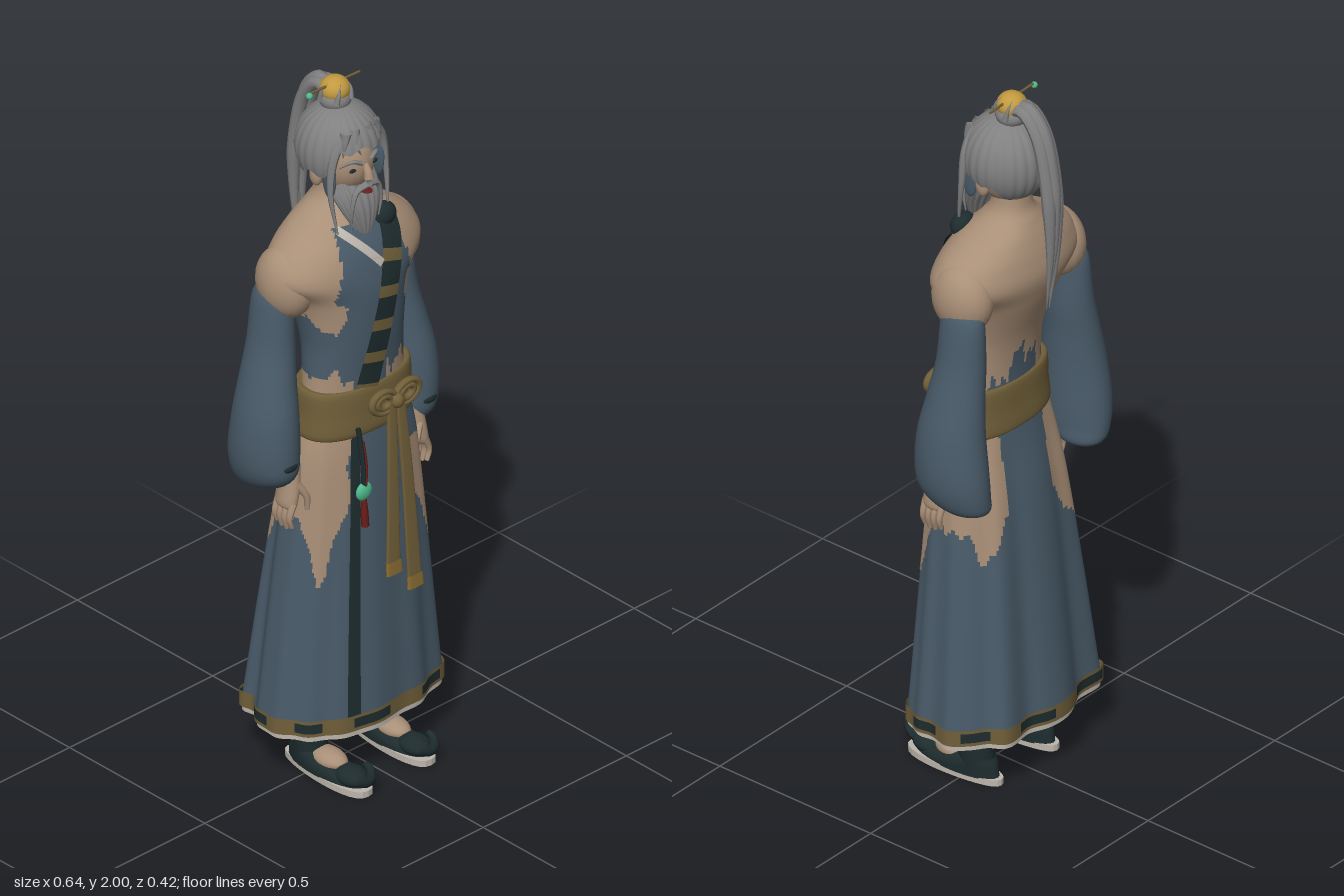
import * as THREE from 'three';

const paint = (name, color) => new THREE.MeshStandardMaterial({ name, color, side: THREE.DoubleSide });
const skin = paint('skin', 0xa98f77), blue = paint('blueCloth', 0x495b69), dark = paint('darkCloth', 0x1e2c2e);
const olive = paint('oliveSilk', 0x705f39), gold = paint('gold', 0xc2993f), hair = paint('greyHair', 0x808080);
const jade = paint('jade', 0x4fba8c), red = paint('redThread', 0x6b1d1a), white = paint('whiteLinen', 0xbdb6ad);
const ochre = paint('ochreFringe', 0x8f7034);

const spow = (v, e) => Math.sign(v) * Math.abs(v) ** e;
const bump = (v, at, w) => Math.exp(-(((v - at) / w) ** 2));

// Smooth in-between of a table of rings [y, centreX, halfWidth, zFront, zBack]
function ringAt(rings, v) {
  const n = rings.length - 1, t = v * n, i = Math.min(n - 1, Math.floor(t)), f = t - i;
  const at = k => rings[Math.max(0, Math.min(n, k))];
  return rings[0].map((_, c) => {
    const [a, b, d, e] = [at(i - 1)[c], at(i)[c], at(i + 1)[c], at(i + 2)[c]];
    return b + 0.5 * f * (d - a + f * (2 * a - 5 * b + 4 * d - e + f * (3 * (b - d) + e - a)));
  });
}

// Point on a ring table; ripple(theta, v) scales the radius
function ringPoint(rings, u, v, e = 1, ripple) {
  const [y, cx, hx, zf, zb] = ringAt(rings, v), a = u * Math.PI * 2, k = ripple ? ripple(a, v) : 1;
  return [cx + hx * k * spow(Math.sin(a), e), y, (zf + zb) / 2 + (zf - zb) / 2 * k * spow(Math.cos(a), e)];
}

// Grid surface; pick(x, y, z, u, v) chooses the material of each cell
function surface(name, nu, nv, point, mats, pick = () => 0, closed = true) {
  const cols = closed ? nu : nu + 1, pos = [], lists = mats.map(() => []);
  for (let j = 0; j <= nv; j++) for (let i = 0; i < cols; i++) pos.push(...point(i / nu, j / nv));
  for (let j = 0; j < nv; j++) for (let i = 0; i < nu; i++) {
    const u = (i + 0.5) / nu, v = (j + 0.5) / nv, i2 = (i + 1) % cols;
    const a = j * cols + i, b = j * cols + i2, c = a + cols, d = b + cols;
    lists[pick(...point(u, v), u, v)].push(a, c, b, b, c, d);
  }
  const g = new THREE.BufferGeometry();
  g.setAttribute('position', new THREE.Float32BufferAttribute(pos, 3));
  g.setIndex(lists.flat());
  let start = 0;
  lists.forEach((l, m) => { g.addGroup(start, l.length, m); start += l.length; });
  g.computeVertexNormals();
  const mesh = new THREE.Mesh(g, mats);
  mesh.name = name;
  return mesh;
}
function loft(name, rings, mat, nu = 28, nv = 24, e = 1, ripple) {
  const m = surface(name, nu, nv, (u, v) => ringPoint(rings, u, v, e, ripple), [mat]);
  m.material = mat;
  return m;
}
function part(name, geo, mat, x = 0, y = 0, z = 0) {
  const m = new THREE.Mesh(geo, mat);
  m.name = name;
  m.position.set(x, y, z);
  return m;
}
function ball(name, mat, p, r) {
  return part(name, new THREE.SphereGeometry(1, 24, 16).scale(...r), mat, ...p);
}
// Tube along points whose radius follows size(t)
function strand(name, mat, pts, radius, size = t => 1 - 0.95 * t, sides = 8, n = 20) {
  const curve = new THREE.CatmullRomCurve3(pts.map(p => new THREE.Vector3(...p)));
  const g = new THREE.TubeGeometry(curve, n, radius, sides), p = g.attributes.position, q = new THREE.Vector3();
  for (let i = 0; i < p.count; i++) {
    const t = Math.floor(i / (sides + 1)) / n, c = curve.getPointAt(t);
    q.fromBufferAttribute(p, i).sub(c).multiplyScalar(size(t)).add(c);
    p.setXYZ(i, q.x, q.y, q.z);
  }
  g.computeVertexNormals();
  return part(name, g, mat);
}

const torsoRings = [
  [1.75, 0, .048, .0, -.095], [1.68, 0, .054, .005, -.1], [1.64, 0, .085, .03, -.118], [1.6, 0, .155, .065, -.135],
  [1.55, 0, .214, .095, -.15], [1.49, 0, .238, .114, -.157], [1.42, 0, .178, .124, -.14], [1.3, 0, .15, .122, -.098],
  [1.2, 0, .15, .114, -.08], [1.08, 0, .158, .108, -.075]];
const skirtRings = [[1.07, 0, .16, .108, -.078], [.96, 0, .188, .12, -.095], [.8, 0, .206, .13, -.122],
  [.5, 0, .235, .142, -.155], [.175, 0, .265, .155, -.185]];

// Front of the chest at a given x and y
function chestZ(x, y) {
  let v = 0;
  while (v < 1 && ringAt(torsoRings, v)[0] > y) v += 0.005;
  const [, , hx, zf, zb] = ringAt(torsoRings, v), k = Math.min(0.95, Math.abs(x) / hx);
  return (zf + zb) / 2 + (zf - zb) / 2 * (1 - k ** 2.1) ** 0.475;
}
function chestBand(name, pts, half, mats, pick) {
  const c = new THREE.CatmullRomCurve3(pts.map(p => new THREE.Vector3(p[0], p[1], 0)));
  return surface(name, 6, 45, (u, v) => {
    const p = c.getPointAt(v), t = c.getTangentAt(v), w = (u - 0.5) * 2 * half;
    const x = p.x - t.y * w, y = p.y + t.x * w;
    return [x, y, chestZ(x, y) + 0.007];
  }, mats, pick, false);
}

function buildBody(g) {
  // Torn robe over bare skin
  g.add(surface('torso', 112, 100, (u, v) => ringPoint(torsoRings, u, v, .95), [skin, blue], (x, y, z) => {
    const jag = .02 * Math.sin(x * 90) + .012 * Math.sin(x * 210 + 1);
    if (z < (y < 1.38 ? -.045 : -.02)) return y < 1.2 + 1.5 * jag + .05 * Math.cos(x * 30) && Math.abs(x) < .13 ? 1 : 0;
    if (y > 1.615 || Math.abs(x) > .125 + Math.max(-.3, 1.46 - y) * (y < 1.46 ? .5 : .25)) return 0;
    if (Math.hypot((Math.abs(x) - .132) / .034, (y - 1.39 + jag * .4) / .048) < 1) return 0;
    if (y < 1.2 + jag && (x < -.075 || x > .03)) return 0;
    return 1;
  }));
  g.add(chestBand('whiteCollar', [[-.08, 1.615], [-.025, 1.555], [.012, 1.51]], .011, [white]));
  g.add(chestBand('chestSash', [[.085, 1.61], [.035, 1.47], [-.04, 1.16]], .035, [dark, olive],
    (x, y, z, u, v) => (v * 5 + .1) % 1 < .36 && v > .1 ? 1 : 0));
  g.add(ball('collarRoll', dark, [.075, 1.602, .05], [.038, .034, .03]));

  // Skirt with folds that deepen toward the hem, torn at the hips
  const fold = (a, v) => {
    const back = Math.max(0, -Math.cos(a)), b = a / (Math.PI * 2);
    return 1 + v * ((.015 + .05 * back) * Math.cos(9 * a + 2.1) + .015 * Math.cos(14 * a + 1)
      + .09 * bump(b, .145, .03) + .08 * bump(b, .63, .035) - .05 * bump(b, .85, .04));
  };
  g.add(surface('skirt', 160, 90, (u, v) => ringPoint(skirtRings, u, v, .88, fold), [blue, skin, dark], (x, y, z, u) => {
    if (u > .925 && u < .951) return 2;
    const a = Math.atan2(z - .01, Math.abs(x)), jag = .02 * Math.sin(a * 11) + .012 * Math.sin(a * 27);
    const rag = .05 * Math.sin(y * 45);
    if (a > .8 + rag || a < -1 + rag || Math.abs(x) < .085) return 0;
    if (x > 0 && a > -.2 && y > .955 - Math.max(0, a) * .03 + jag * .5) return 0;
    return y > .785 + jag - .15 * bump(a, .38, .17) - .11 * bump(a, -.55, .18) ? 1 : 0;
  }));
  const hemPoint = (lo, hi, grow) => (u, v) => {
    const p = ringPoint(skirtRings, u, 1, .88, fold);
    return [p[0] * grow, hi + (lo - hi) * v, p[2] * grow];
  };
  g.add(surface('hemTrim', 160, 5, hemPoint(.176, .222, 1.012), [olive, dark],
    (x, y, z, u, v) => v > .2 && v < .8 && Math.floor(u * 16) % 2 ? 1 : 0));
  g.add(surface('underskirt', 160, 1, hemPoint(.16, .2, .985), [white]));

  // Belt, bow and hanging ends
  g.add(loft('belt', [[1.158, 0, .15, .1, -.07], [1.155, 0, .17, .115, -.083], [1.09, 0, .173, .12, -.086],
    [1.03, 0, .178, .122, -.09], [1.022, 0, .16, .1, -.08]], olive, 64, 16, .85));
  for (const s of [-1, 1]) for (const r of [.036, .02]) {
    const loop = part('bowLoop', new THREE.TorusGeometry(r, .009, 8, 28), olive, .04 + s * .04, 1.105, .132);
    loop.scale.set(1.15, .85, 1.2);
    loop.rotation.z = s * .2;
    g.add(loop);
  }
  g.add(ball('bowKnot', olive, [.04, 1.098, .136], [.02, .022, .022]));
  for (const [top, x, y] of [[.025, .004, .64], [.055, .078, .57]]) {
    g.add(loft('sashEnd', [[1.09, top, .014, .142, .128], [.85, (top + x) / 2, .019, .156, .146],
      [y, x, .023, .168, .158]], olive, 16, 12, .5));
    g.add(loft('sashFringe', [[y + .005, x, .024, .17, .156], [y - .035, x + .004, .026, .17, .158]], ochre, 16, 2, .5,
      a => 1 + .08 * Math.cos(a * 8)));
  }

  // Jade pendant on a cord
  g.add(strand('pendantCord', dark, [[-.085, 1.06, .128], [-.075, .97, .133], [-.07, .87, .135]], .007, () => 1));
  g.add(strand('pendantThread', red, [[-.074, 1.02, .134], [-.066, .94, .138], [-.07, .87, .138]], .004, () => 1));
  g.add(ball('jadePendant', jade, [-.07, .87, .133], [.026, .026, .012]));
  g.add(loft('pendantTassel', [[.85, -.07, .005, .14, .128], [.81, -.068, .009, .142, .124], [.765, -.066, .01, .143, .125]],
    red, 16, 8, 1, a => 1 + .1 * Math.cos(a * 8)));
}

function buildLimbs(g, s) {
  // Bare shoulder, loose sleeve and hand
  g.add(ball('shoulder', skin, [s * .182, 1.47, -.038], [.068, .1, .088]));
  const sleeve = [[1.455, .202, .036, -.005, -.105], [1.42, .207, .046, .004, -.122], [1.3, .213, .057, .01, -.128],
    [1.2, .228, .066, .026, -.135], [1.1, .24, .076, .045, -.145], [1.0, .243, .079, .052, -.158],
    [.93, .238, .072, .042, -.162], [.885, .226, .053, -.015, -.154], [.865, .217, .004, -.095, -.105]];
  g.add(loft('sleeve', sleeve.map(([y, x, ...r]) => [y, s * x, ...r]), blue, 36, 40));
  g.add(ball('cuffOpening', dark, [s * .243, .974, .044], [.024, .013, .011]));
  g.add(loft('hand', [[.96, s * .213, .026, .037, -.012], [.9, s * .22, .025, .048, -.016],
    [.855, s * .23, .02, .05, -.02], [.84, s * .232, .011, .042, -.012]], skin, 16, 10));
  for (let i = 0; i < 4; i++) {
    const z = -.012 + i * .018, y = .78 + Math.abs(i - 1.6) * .008;
    g.add(strand('finger', skin, [[s * .23, .86, z], [s * .244, .82, z], [s * .236, y, z]], .0105, t => 1 - .4 * t, 8, 8));
  }
  g.add(strand('thumb', skin, [[s * .215, .91, .035], [s * .192, .87, .05], [s * .188, .83, .048]], .012, t => 1 - .4 * t, 8, 8));

  // Leg, slipper with curled toe, pale sole
  const x = s * .11;
  g.add(loft('legging', [[.62, x, .05, .035, -.075], [.25, x, .05, .033, -.07], [.1, x, .046, .025, -.07],
    [.04, x, .042, .025, -.075]], dark, 24, 12));
  g.add(loft('slipper', [[.07, x, .036, .015, -.08], [.052, x, .044, .085, -.088], [.032, x, .047, .16, -.092],
    [.015, x, .046, .175, -.095]], dark, 28, 10));
  g.add(ball('instep', skin, [x, .052, .045], [.038, .026, .06]));
  g.add(ball('slipperToe', dark, [x, .036, .13], [.038, .026, .05]));
  g.add(strand('toeCurl', dark, [[x, .036, .15], [x, .045, .187], [x, .065, .202], [x, .088, .196], [x, .093, .18]], .023, t => 1 - .65 * t, 10));
  const outline = new THREE.Shape(Array.from({ length: 28 }, (_, i) => {
    const a = i / 14 * Math.PI;
    return new THREE.Vector2(spow(Math.sin(a), .75) * (.045 + .008 * Math.cos(a)), -.043 - .15 * Math.cos(a));
  }));
  const sole = part('sole', new THREE.ExtrudeGeometry(outline, { depth: .018, bevelEnabled: false }), white, x, 0, 0);
  sole.rotation.x = -Math.PI / 2;
  g.add(sole);
}

function buildHead(g) {
  g.add(ball('face', skin, [0, 1.785, -.03], [.08, .105, .1]));
  g.add(strand('nose', skin, [[0, 1.795, .06], [0, 1.77, .074], [0, 1.752, .078]], .014, t => .5 + .5 * t));
  g.add(ball('mouth', red, [0, 1.712, .064], [.016, .004, .022]));
  for (const s of [-1, 1]) {
    g.add(ball('eye', dark, [s * .036, 1.78, .0575], [.013, .006, .005]));
    g.add(strand('eyebrow', hair, [[s * .014, 1.797, .066], [s * .04, 1.808, .06], [s * .066, 1.79, .036]], .007, t => 1 - .6 * t));
    g.add(ball('ear', skin, [s * .088, 1.755, -.025], [.014, .032, .02]));
    g.add(ball('templeCloth', blue, [s * .084, 1.762, .02], [.009, .06, .024]));
    g.add(strand('moustache', hair, [[s * .005, 1.733, .074], [s * .035, 1.722, .07], [s * .05, 1.68, .07], [s * .045, 1.6, .062]], .01));
    g.add(strand('sideLock', hair, [[s * .045, 1.885, .036], [s * .082, 1.83, .036], [s * .097, 1.73, .038], [s * .088, 1.61, .055]], .016, t => 1 - .85 * t));
    for (const k of [0, 1]) g.add(strand('forelock', hair, [[s * (.02 + k * .03), 1.89, .045], [s * (.03 + k * .03), 1.855, .062 - k * .012],
      [s * (.016 + k * .045), 1.822, .066 - k * .02]], .015));
  }
  g.add(loft('beard', [[1.735, 0, .07, .04, -.02], [1.7, 0, .07, .064, -.01], [1.66, 0, .057, .077, .01], [1.61, 0, .034, .078, .035],
    [1.55, 0, .004, .068, .06]], hair, 72, 20, 1, a => 1 + .07 * Math.cos(a * 18)));

  // Combed cap of hair, open over the face
  g.add(surface('hairCap', 144, 30, (u, v) => {
    const a = (u - .5) * Math.PI * 2, k = THREE.MathUtils.smoothstep(Math.abs(a), .75, 1.15);
    const p = v * (1.3 + .06 * Math.sin(a * 9) + k * (.64 + .42 * THREE.MathUtils.smoothstep(Math.abs(a), 1.6, 2.4)));
    const r = Math.sin(p) ** .9 * (.98 + .03 * Math.abs(Math.cos(a * 12)));
    return [.112 * r * Math.sin(a), 1.81 + .12 * Math.cos(p), -.033 + .116 * r * Math.cos(a)];
  }, [hair]));

  // Topknot, ornament with loose wisps, pin and ponytail
  g.add(ball('topknot', hair, [0, 1.938, -.048], [.043, .034, .043]));
  g.add(ball('topknotOrnament', gold, [0, 1.965, -.048], [.04, .035, .04]));
  for (let i = 0; i < 5; i++) {
    const at = (a, r, y) => [Math.sin(a) * r, y, -.048 + Math.cos(a) * r], a = i * 1.257 + .6;
    g.add(strand('wisp', hair, [at(a, .041, 1.94), at(a + .15, .04, 1.968), at(a + .45, .028, 1.991)], .009));
  }
  const pin = part('hairPin', new THREE.CylinderGeometry(.0035, .0035, .17, 8), olive, 0, 1.982, -.047);
  pin.rotation.z = Math.PI / 2 - .04;
  g.add(pin);
  g.add(ball('pinBead', jade, [-.09, 1.979, -.047], [.009, .009, .009]));
  const path = [[1.955, -.06], [1.975, -.1], [1.93, -.148], [1.8, -.182], [1.62, -.19], [1.44, -.172]];
  for (const k of [-1, 0, 1]) g.add(strand('ponytail', hair, path.map(([y, z], i) =>
    [k * [.012, .015, .016, .016, .012, .005][i], y - Math.abs(k) * i * .008, z + Math.abs(k) * .004]),
    .019, t => t < .5 ? .9 + .2 * t : 1.95 - 1.9 * t, 10, 36));
}

export function createModel() {
  const model = new THREE.Group();
  model.name = 'robedElder';
  const body = new THREE.Group(), head = new THREE.Group();
  body.name = 'body';
  head.name = 'head';
  buildBody(body);
  buildHead(head);
  model.add(body, head);
  for (const s of [-1, 1]) {
    const limbs = new THREE.Group();
    limbs.name = s > 0 ? 'leftLimbs' : 'rightLimbs';
    buildLimbs(limbs, s);
    model.add(limbs);
  }
  return model;
}
